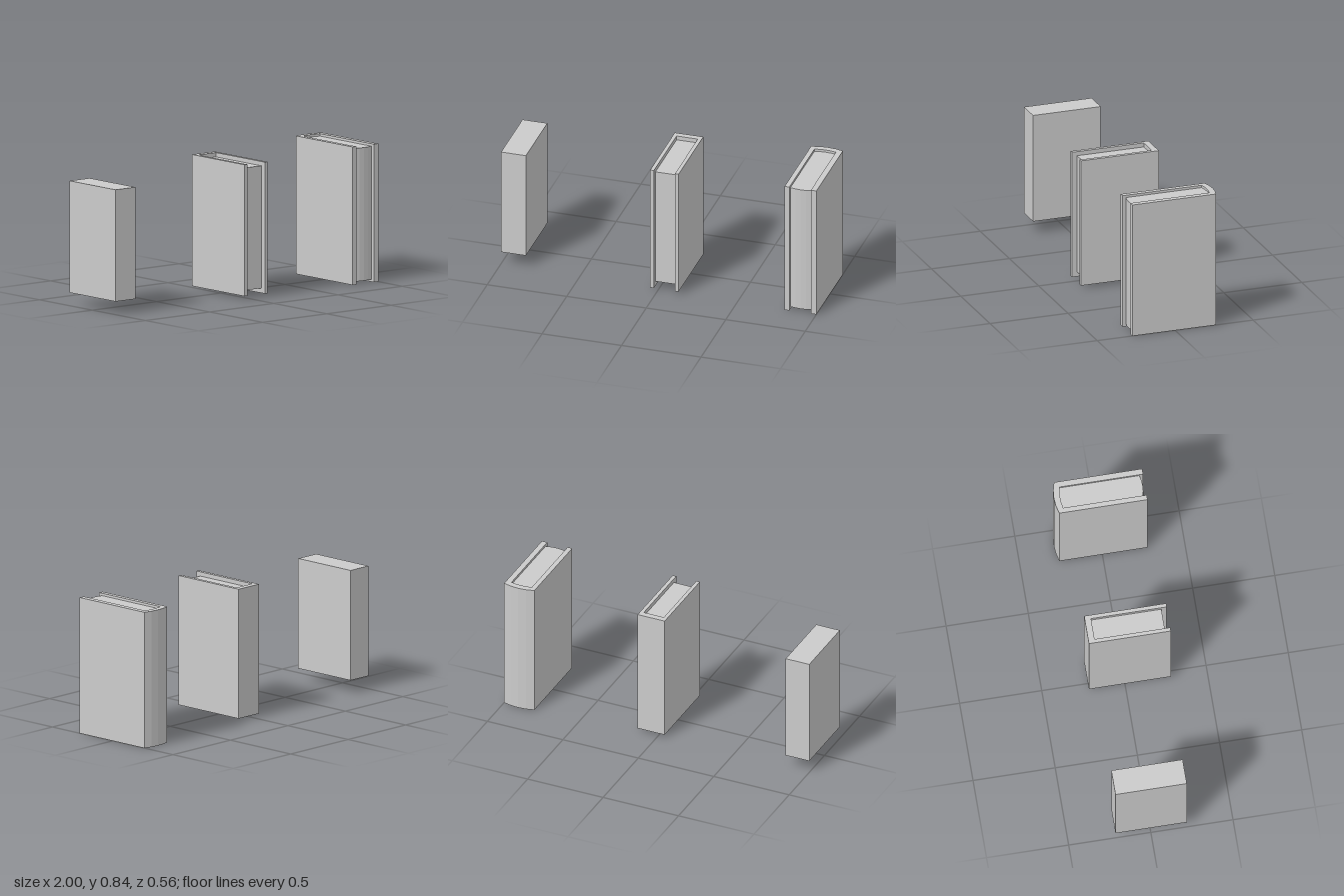
import * as THREE from 'three';

const material = new THREE.MeshStandardMaterial({ color: 0xcccccc, flatShading: true });

// Points across the book's width from x0 to x1; the middle bulges from z by `bulge`
function arc(x0, x1, z, bulge) {
  const n = bulge ? 4 : 1;
  return Array.from({ length: n + 1 }, (_, i) => {
    const t = i / n;
    return [x0 + (x1 - x0) * t, z + bulge * 4 * t * (1 - t)];
  });
}

// Extrude an (x, z) outline upwards from y0 to y1
function slab(name, outline, y0, y1) {
  const shape = new THREE.Shape(outline.map(([x, z]) => new THREE.Vector2(x, -z)));
  const geometry = new THREE.ExtrudeGeometry(shape, { depth: y1 - y0, bevelEnabled: false });
  geometry.rotateX(-Math.PI / 2).translate(0, y0, 0);
  const mesh = new THREE.Mesh(geometry, material);
  mesh.name = name;
  return mesh;
}

// A hardback: U-shaped cover wrapped round a block of pages
function hardback(name, b) {
  const group = new THREE.Group();
  group.name = name;
  const inner = arc(b.px0, b.px1, b.pageBack, -b.innerBulge);
  const cover = [
    [b.x0, b.front], ...arc(b.x0, b.x1, b.back, -b.spineBulge), [b.x1, b.front],
    [b.px1, b.front], ...inner.slice().reverse(), [b.px0, b.front],
  ];
  const pages = [...inner, ...arc(b.px1, b.px0, b.pageFront, b.foreBulge)];
  group.add(slab('cover', cover, b.y0, b.y1), slab('pages', pages, b.py0, b.py1));
  return group;
}

export function createModel() {
  const model = new THREE.Group();
  model.name = 'books';

  // Plain block book
  const block = new THREE.Mesh(new THREE.BoxGeometry(0.156, 0.68, 0.434), material);
  block.position.set(-0.922, 0.42, 0.002);
  block.name = 'blockBook';
  model.add(block);

  // Square-spined book
  model.add(hardback('squareSpineBook', {
    x0: -0.044, x1: 0.135, y0: 0.02, y1: 0.82, back: -0.22, front: 0.279, spineBulge: 0,
    px0: -0.021, px1: 0.112, py0: 0.049, py1: 0.794, pageBack: -0.182, pageFront: 0.246,
    innerBulge: 0, foreBulge: 0,
  }));

  // Round-spined book
  model.add(hardback('roundSpineBook', {
    x0: 0.8, x1: 1, y0: 0, y1: 0.84, back: -0.262, front: 0.275, spineBulge: 0.017,
    px0: 0.83, px1: 0.965, py0: 0.015, py1: 0.825, pageBack: -0.233, pageFront: 0.252,
    innerBulge: 0.008, foreBulge: 0.01,
  }));

  return model;
}
